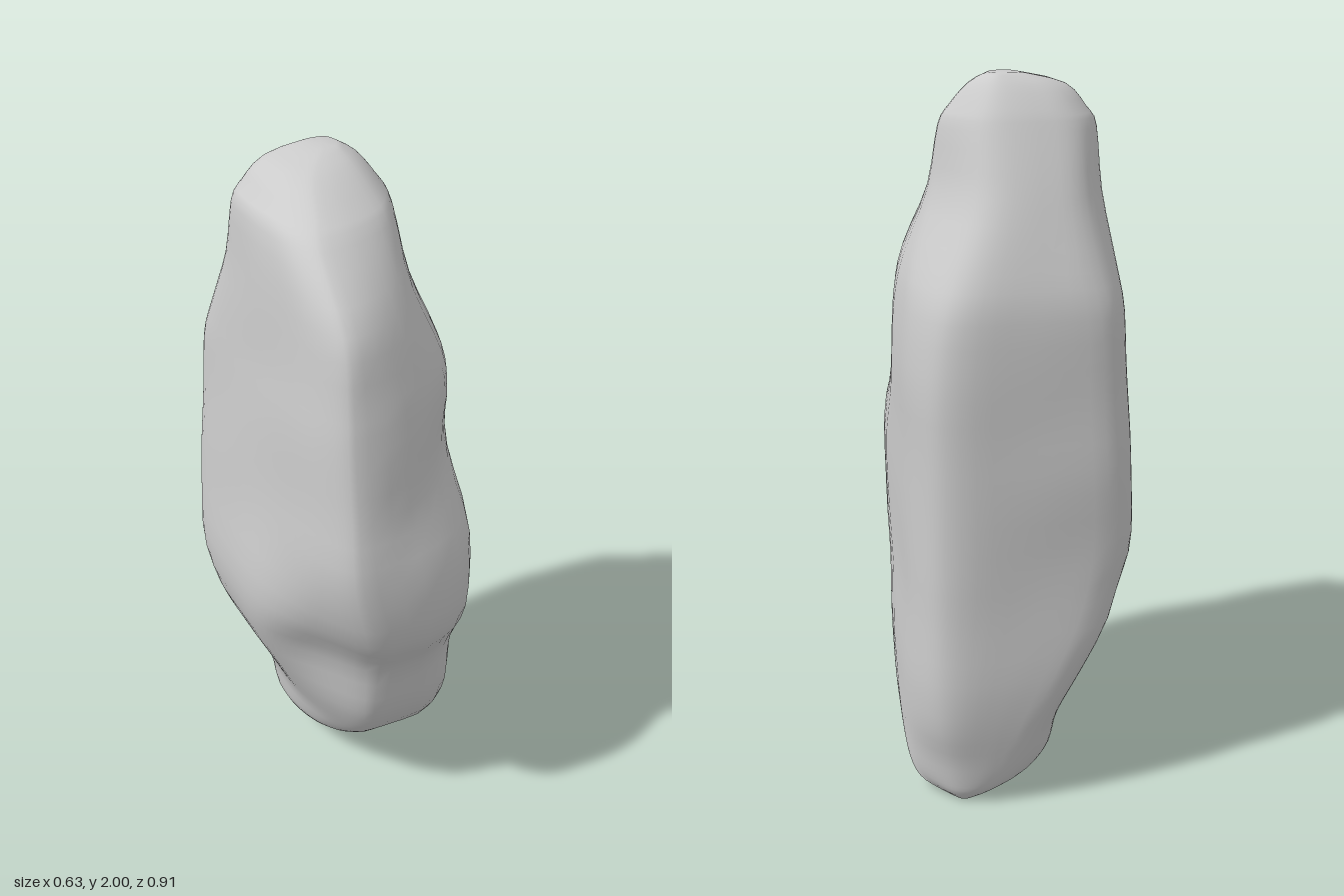
import * as THREE from 'three';

// Cross-sections from base to tip: [y, xMin, xMax, zMin, zMax,
//   fullness of front-right corner, cut of front-left corner, cut of back corners]
const LEVELS = [
  [0.00, 0.13, 0.19, -0.34, -0.29, 0.5, 0.3, 0.4],
  [0.03, 0.03, 0.26, -0.37, -0.13, 0.5, 0.3, 0.4],
  [0.07, -0.05, 0.29, -0.39, -0.05, 0.55, 0.3, 0.38],
  [0.14, -0.10, 0.305, -0.41, 0.04, 0.6, 0.28, 0.34],
  [0.25, -0.12, 0.31, -0.43, 0.17, 0.65, 0.28, 0.25],
  [0.40, -0.19, 0.31, -0.44, 0.265, 0.64, 0.33, 0.19],
  [0.60, -0.285, 0.305, -0.44, 0.325, 0.62, 0.42, 0.16],
  [0.78, -0.315, 0.305, -0.44, 0.435, 0.6, 0.36, 0.15],
  [1.00, -0.30, 0.305, -0.45, 0.455, 0.58, 0.24, 0.15],
  [1.20, -0.285, 0.305, -0.45, 0.435, 0.42, 0.21, 0.15],
  [1.40, -0.275, 0.29, -0.45, 0.41, 0.46, 0.2, 0.17],
  [1.52, -0.265, 0.265, -0.43, 0.395, 0.45, 0.2, 0.22],
  [1.70, -0.25, 0.20, -0.37, 0.36, 0.35, 0.2, 0.28],
  [1.86, -0.24, 0.17, -0.30, 0.20, 0.4, 0.22, 0.28],
  [1.91, -0.21, 0.145, -0.275, 0.12, 0.42, 0.25, 0.28],
  [1.97, -0.15, 0.10, -0.235, 0.0, 0.42, 0.28, 0.28],
  [2.00, -0.03, 0.05, -0.20, -0.11, 0.5, 0.28, 0.25],
];

// Hollows: centre, radius, inward push
const DENTS = [
  [-0.20, 0.66, 0.34, 0.10, 0.02],
  [0.15, 1.30, 0.26, 0.12, 0.02],
  [-0.28, 0.62, -0.40, 0.09, 0.02],
];

const SIDES = 64;
const SUB = 3;

// Rounded, uneven four-sided outline, in 0..1 across x and z
function outline(full, cut, back) {
  const r = 0.2 + 0.5 * full;
  const mid = THREE.MathUtils.lerp;
  const pts = [
    [0.1 * back, 0.6 * back], [0, 0.36], [0.02, 0.6],
    [0.4 * cut, 1 - 0.55 * cut], [cut, 1],
    [mid(0.62, 1, full), mid((1 + r) / 2, 1, full)],
    [1, r], [1 - 0.1 * back, back], [1 - 0.7 * back, 0.2 * back],
    [0.5, 0], [0.7 * back, 0.1 * back],
  ].map(([u, v]) => new THREE.Vector3(u, 0, v));
  return new THREE.CatmullRomCurve3(pts, true, 'centripetal');
}

// Smooth blend between neighbouring cross-sections
function levelAt(t) {
  const i = Math.min(Math.floor(t), LEVELS.length - 2), k = t - i;
  const at = (j) => LEVELS[THREE.MathUtils.clamp(j, 0, LEVELS.length - 1)];
  return LEVELS[i].map((b, n) => {
    const a = at(i - 1)[n], c = at(i + 1)[n], d = at(i + 2)[n];
    const smooth = b + 0.5 * k * (c - a + k * (2 * a - 5 * b + 4 * c - d + k * (3 * (b - c) + d - a)));
    return THREE.MathUtils.clamp(smooth, Math.min(b, c), Math.max(b, c));
  });
}

function stoneGeometry() {
  const pos = [], idx = [];
  const rows = (LEVELS.length - 1) * SUB + 1;
  for (let j = 0; j < rows; j++) {
    const [y, x0, x1, z0, z1, full, cut, back] = levelAt(j / SUB);
    const curve = outline(full, cut, back);
    const cx = (x0 + x1) / 2, cz = (z0 + z1) / 2;
    for (let i = 0; i < SIDES; i++) {
      const p = curve.getPoint(i / SIDES);
      let x = THREE.MathUtils.lerp(x0, x1, THREE.MathUtils.clamp(p.x, 0, 1));
      let z = THREE.MathUtils.lerp(z0, z1, THREE.MathUtils.clamp(p.z, 0, 1));
      const len = Math.hypot(x - cx, z - cz);
      // Hollows and gentle weathering
      let push = 0.004 * Math.sin(9 * y + 7 * x) * Math.sin(8 * z - 5 * y) * Math.min(1, len / 0.2);
      for (const [dx, dy, dz, r, depth] of DENTS) {
        const d2 = (x - dx) ** 2 + (y - dy) ** 2 + (z - dz) ** 2;
        push += depth * Math.exp(-d2 / (r * r));
      }
      x -= ((x - cx) / len) * push;
      z -= ((z - cz) / len) * push;
      pos.push(x, y, z);
    }
  }
  for (let j = 0; j < rows - 1; j++) {
    for (let i = 0; i < SIDES; i++) {
      const a = j * SIDES + i, b = j * SIDES + ((i + 1) % SIDES);
      idx.push(a, b, b + SIDES, a, b + SIDES, a + SIDES);
    }
  }
  // Closing fans at base and tip
  const last = (rows - 1) * SIDES;
  const base = pos.length / 3;
  pos.push(0.16, 0, -0.315, 0.01, 2, -0.155);
  for (let i = 0; i < SIDES; i++) {
    const n = (i + 1) % SIDES;
    idx.push(base, n, i, base + 1, last + i, last + n);
  }
  const g = new THREE.BufferGeometry();
  g.setAttribute('position', new THREE.Float32BufferAttribute(pos, 3));
  g.setIndex(idx);
  g.computeVertexNormals();
  return g;
}

export function createModel() {
  const group = new THREE.Group();
  group.name = 'standingStone';
  const stone = new THREE.Mesh(stoneGeometry(), new THREE.MeshStandardMaterial({ color: 0xcccccc }));
  stone.name = 'stone';
  group.add(stone);
  return group;
}
